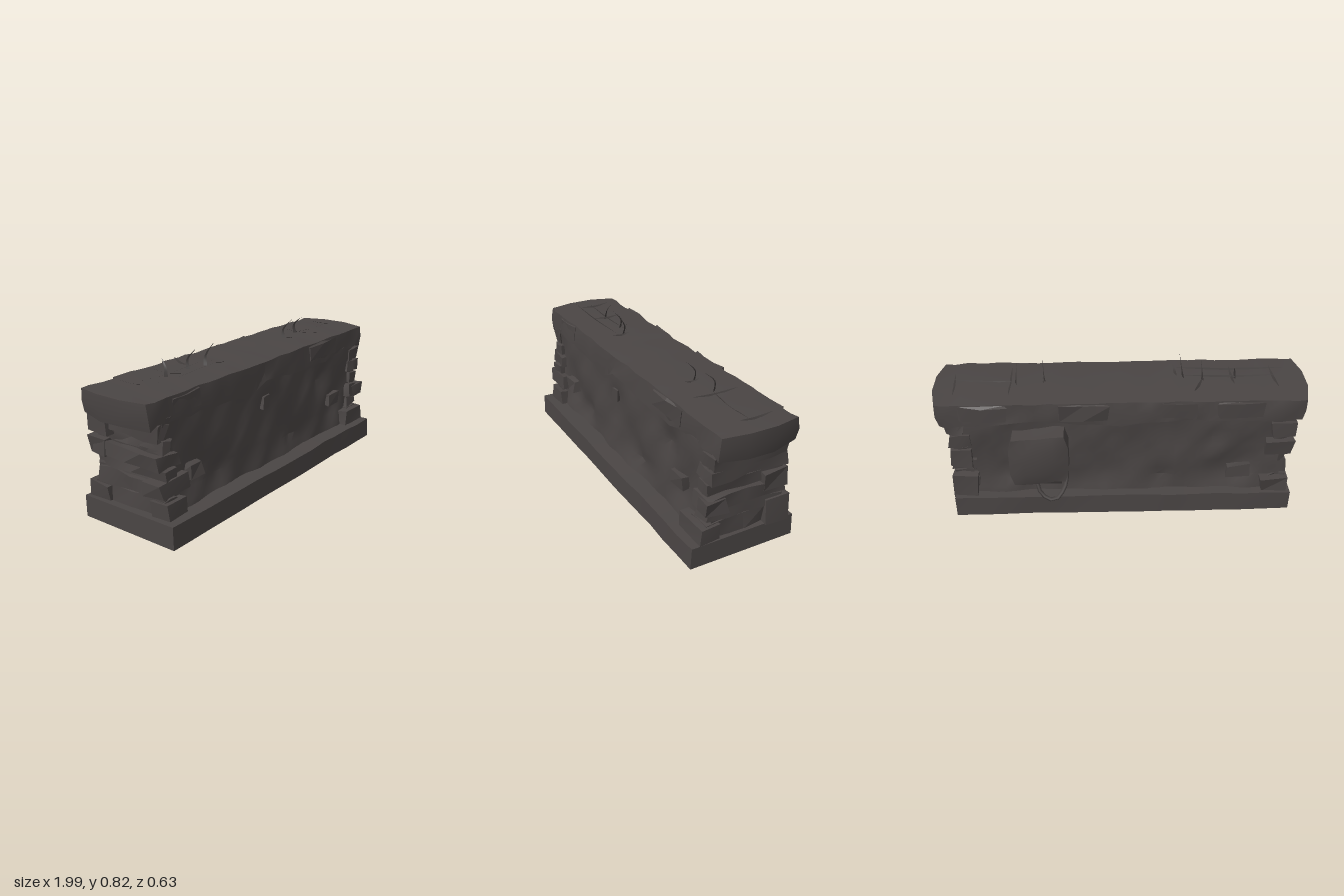
import * as THREE from 'three';
import { toCreasedNormals } from 'three/addons/utils/BufferGeometryUtils.js';

// repeatable value in -1..1 for a point, so shared corners move together
function hash(x, y, z) {
  const s = Math.sin(Math.round(x * 500) * 12.99 + Math.round(y * 500) * 78.23 + Math.round(z * 500) * 37.72) * 43758.55;
  return (s - Math.floor(s)) * 2 - 1;
}

export function createModel() {
  const group = new THREE.Group();
  const stone = new THREE.MeshStandardMaterial({ color: 0x4a4544 });
  const foliage = new THREE.MeshStandardMaterial({ color: 0x3d3938, side: THREE.DoubleSide });

  function add(name, geo, mat = stone, parent = group) {
    const m = new THREE.Mesh(geo, mat);
    m.name = name;
    parent.add(m);
    return m;
  }

  // box between limits whose vertices are moved by a rule
  function rock([x0, x1], [y0, y1], [z0, z1], segs, rule, crease = 0.45) {
    const g = new THREE.BoxGeometry(x1 - x0, y1 - y0, z1 - z0, ...segs);
    g.translate((x0 + x1) / 2, (y0 + y1) / 2, (z0 + z1) / 2);
    const p = g.attributes.position, v = new THREE.Vector3();
    for (let i = 0; i < p.count; i++) {
      v.fromBufferAttribute(p, i);
      rule(v);
      p.setXYZ(i, v.x, v.y, v.z);
    }
    return toCreasedNormals(g, crease);
  }
  const jitter = (a) => (v) => {
    const { x, y, z } = v;
    v.set(x + a * hash(x, y, z), y + a * hash(y, z, x), z + a * hash(z, x, y));
  };

  // plinth
  add('plinth', rock([-0.935, 0.92], [0, 0.115], [-0.275, 0.313], [14, 1, 1], (v) => {
    const { x, y, z } = v;
    if (y > 0.05) v.y += 0.004 * hash(x, y, z);
    v.z += 0.004 * hash(z, x, y) - (y > 0.05 ? Math.sign(z) * 0.003 : 0);
  }));

  // weathered wall with shallow hollows and ridges
  const hollows = [[-0.07, 0.47, 0.05], [-0.45, 0.19, 0.1], [0.2, 0.2, 0.09], [0.62, 0.25, 0.12], [-0.62, 0.25, 0.1], [0.5, 0.45, 0.1]];
  add('wall', rock([-0.88, 0.885], [0.1, 0.6], [-0.2, 0.203], [36, 10, 6], (v) => {
    const { x, y, z } = v;
    const wave = 0.006 * Math.sin(9 * x + 14 * y) + 0.005 * Math.sin(23 * x - 19 * y + 1) + 0.003 * hash(x, y, z);
    let dent = 0;
    for (const [hx, hy, r] of hollows) {
      const d = Math.hypot(x - (z > 0 ? hx : -hx), y - hy) / r;
      if (d < 1) dent += 0.022 * (1 - d);
    }
    const foot = 0.015 * Math.max(0, (0.2 - y) / 0.1);
    if (Math.abs(z) > 0.19) v.z += Math.sign(z) * (wave - dent + foot);
    if (Math.abs(x) > 0.87) v.x += Math.sign(x) * 0.012 * Math.sin(30 * y + 6 * z);
  }, 0.5));

  // uneven courses at both ends: y0, y1, end x, inner x, front z, back z
  const courses = {
    right: [
      [0.11, 0.2, 0.895, 0.8, 0.222, -0.215], [0.21, 0.29, 0.905, 0.77, 0.228, -0.2],
      [0.3, 0.36, 0.895, 0.81, 0.235, -0.205], [0.36, 0.425, 0.925, 0.79, 0.225, -0.21],
      [0.44, 0.5, 0.89, 0.82, 0.222, -0.205], [0.49, 0.575, 0.915, 0.84, 0.213, -0.205]],
    left: [
      [0.11, 0.21, 0.895, 0.78, 0.225, -0.21], [0.215, 0.27, 0.9, 0.8, 0.22, -0.2],
      [0.28, 0.35, 0.915, 0.79, 0.232, -0.21], [0.355, 0.425, 0.895, 0.82, 0.228, -0.205],
      [0.43, 0.495, 0.92, 0.8, 0.22, -0.215], [0.5, 0.575, 0.93, 0.83, 0.21, -0.205]],
  };
  for (const [side, list] of Object.entries(courses)) {
    const s = side === 'left' ? 1 : -1;
    for (const [y0, y1, xe, xi, zf, zb] of list) {
      const xr = s > 0 ? [xi, xe] : [-xe, -xi];
      add(side + 'EndCourse', rock(xr, [y0, y1], [zb, zf], [2, 1, 4], jitter(0.01), 0.4));
    }
  }

  // single stones standing proud: x range, y range, z range
  const stones = [
    [[0.72, 0.92], [0.11, 0.205], [0.15, 0.265]], [[-0.91, -0.77], [0.11, 0.195], [0.15, 0.262]],
    [[0.84, 0.932], [0.27, 0.345], [0.13, 0.24]], [[-0.935, -0.74], [0.225, 0.305], [0.13, 0.245]],
    [[-0.715, -0.61], [0.255, 0.325], [0.15, 0.228]], [[0.57, 0.68], [0.28, 0.34], [0.15, 0.222]],
    [[0.79, 0.92], [0.11, 0.25], [-0.25, -0.11]], [[-0.91, -0.77], [0.11, 0.2], [-0.255, -0.12]],
    [[-0.92, -0.78], [0.35, 0.44], [-0.235, -0.12]], [[-0.7, -0.58], [0.2, 0.27], [-0.225, -0.15]],
    [[0.8, 0.925], [0.3, 0.41], [-0.225, -0.08]], [[-0.93, -0.8], [0.47, 0.55], [-0.228, -0.1]],
    [[-0.1, -0.045], [0.44, 0.505], [0.15, 0.212]],
  ];
  for (const [x, y, z] of stones) add('proudStone', rock(x, y, z, [1, 1, 1], jitter(0.011), 0.2));

  // coping slab with a ragged lower edge and a deep chip in the front
  add('coping', rock([-0.99, 0.99], [0.565, 0.7], [-0.222, 0.212], [26, 2, 3], (v) => {
    const { x, y, z } = v;
    const low = y < 0.6, top = y > 0.69, outer = Math.abs(z) > 0.2, end = Math.abs(x) > 0.98;
    if (low) v.y += 0.008 * hash(x, y, z);
    if (low && outer && !end) v.y += 0.01 + 0.012 * Math.sin(7 * x + z * 9);
    if (low && z > 0.2) v.y -= 0.055 * Math.max(0, 1 - Math.abs(x + 0.22) / 0.13);
    if (top) v.y += 0.003 * hash(y, x, z) - (outer ? 0.006 : 0);
    if (outer) v.z += Math.sign(z) * (0.007 * hash(z, x, y) - (top ? 0.008 : 0));
    if (end) v.x += Math.sign(x) * (low ? -0.008 : 0.006) - (outer ? Math.sign(x) * 0.03 : 0);
  }, 0.5));
  // slivers broken along the coping's rear and front edge
  for (const [x, w, z] of [[-0.62, 0.12, -0.222], [-0.3, 0.09, -0.22], [0.2, 0.13, -0.224], [0.72, 0.12, -0.222], [-0.7, 0.1, 0.205], [0.5, 0.14, 0.206]])
    add('copingChip', rock([x - w, x + w], [0.6, 0.685], [z - 0.008, z + 0.008], [2, 1, 1], jitter(0.009), 0.2));

  // thick tablet fixed on the back
  add('backTablet', rock([0.285, 0.6], [0.235, 0.53], [-0.313, -0.19], [4, 4, 2], (v) => {
    const edge = Math.abs(v.x - 0.4425) > 0.15, rim = Math.abs(v.y - 0.3825) > 0.14;
    if (v.z < -0.3 && (edge || rim)) v.z += 0.018;
    if (edge && rim) v.x += v.x > 0.44 ? -0.02 : 0.02;
    v.y += (v.x - 0.44) * -0.08 + 0.004 * hash(v.x, v.y, v.z);
  }, 0.5));
  add('tabletFoot', rock([0.33, 0.55], [0.205, 0.25], [-0.285, -0.18], [2, 1, 1], jitter(0.012), 0.2));

  // ribbon that follows a curve and tapers towards its ends
  function ribbon(points, width, across, n = 8, tipOnly = false) {
    const curve = new THREE.CatmullRomCurve3(points.map((p) => new THREE.Vector3(...p)));
    const side = new THREE.Vector3(...across), pos = [], idx = [];
    for (let i = 0; i <= n; i++) {
      const t = i / n, c = curve.getPoint(t);
      const w = width / 2 * (tipOnly ? 1 - t * 0.95 : 0.08 + Math.sin(Math.PI * t));
      for (const k of [-1, 1]) pos.push(...c.clone().addScaledVector(side, k * w).toArray());
      if (i < n) idx.push(2 * i, 2 * i + 1, 2 * i + 2, 2 * i + 1, 2 * i + 3, 2 * i + 2);
    }
    const g = new THREE.BufferGeometry();
    g.setAttribute('position', new THREE.Float32BufferAttribute(pos, 3));
    g.setIndex(idx);
    g.computeVertexNormals();
    return g;
  }

  // strap hanging below the tablet
  const strap = new THREE.CatmullRomCurve3([[0.3, 0.3, -0.215], [0.31, 0.19, -0.262], [0.37, 0.12, -0.3],
    [0.44, 0.15, -0.285], [0.47, 0.24, -0.25]].map((p) => new THREE.Vector3(...p)));
  add('hangingStrap', new THREE.TubeGeometry(strap, 10, 0.011, 4));

  // upright blades: base x, z, tip x, y, z
  for (const [x, z, tx, ty, tz] of [[-0.615, 0, -0.605, 0.79, -0.035], [-0.44, -0.01, -0.43, 0.81, 0.035],
    [-0.34, 0.02, -0.318, 0.825, 0.06], [0.405, 0, 0.415, 0.815, 0.05], [0.56, -0.02, 0.55, 0.805, 0.03]])
    add('uprightBlade', ribbon([[x, 0.69, z], [(x + tx) / 2, 0.75, z - 0.008], [tx, ty, tz]], 0.022, [0.5, 0, 0.86], 6, true), foliage);

  // fallen blades lying on the coping: start x, z, end x, z
  for (const [x0, z0, x1, z1] of [[-0.9, 0.07, -0.3, 0.075], [-0.84, -0.005, -0.32, 0], [-0.83, -0.12, -0.81, 0.08],
    [-0.6, -0.09, -0.59, 0.08], [-0.44, -0.02, -0.38, -0.16], [-0.3, 0.0, -0.29, 0.11], [0.57, -0.005, 0.89, 0.01],
    [0.59, -0.14, 0.59, 0.12], [0.88, -0.13, 0.89, 0.06], [0.41, -0.03, 0.42, 0.06]]) {
    const h = x0 < 0 ? 0.722 : 0.708, l = Math.hypot(x1 - x0, z1 - z0);
    add('fallenBlade', ribbon([[x0, h, z0], [(x0 + x1) / 2, h - 0.008, (z0 + z1) / 2], [x1, h + 0.004, z1]],
      0.012, [-(z1 - z0) / l, 0.4, (x1 - x0) / l]), foliage);
  }
  return group;
}
